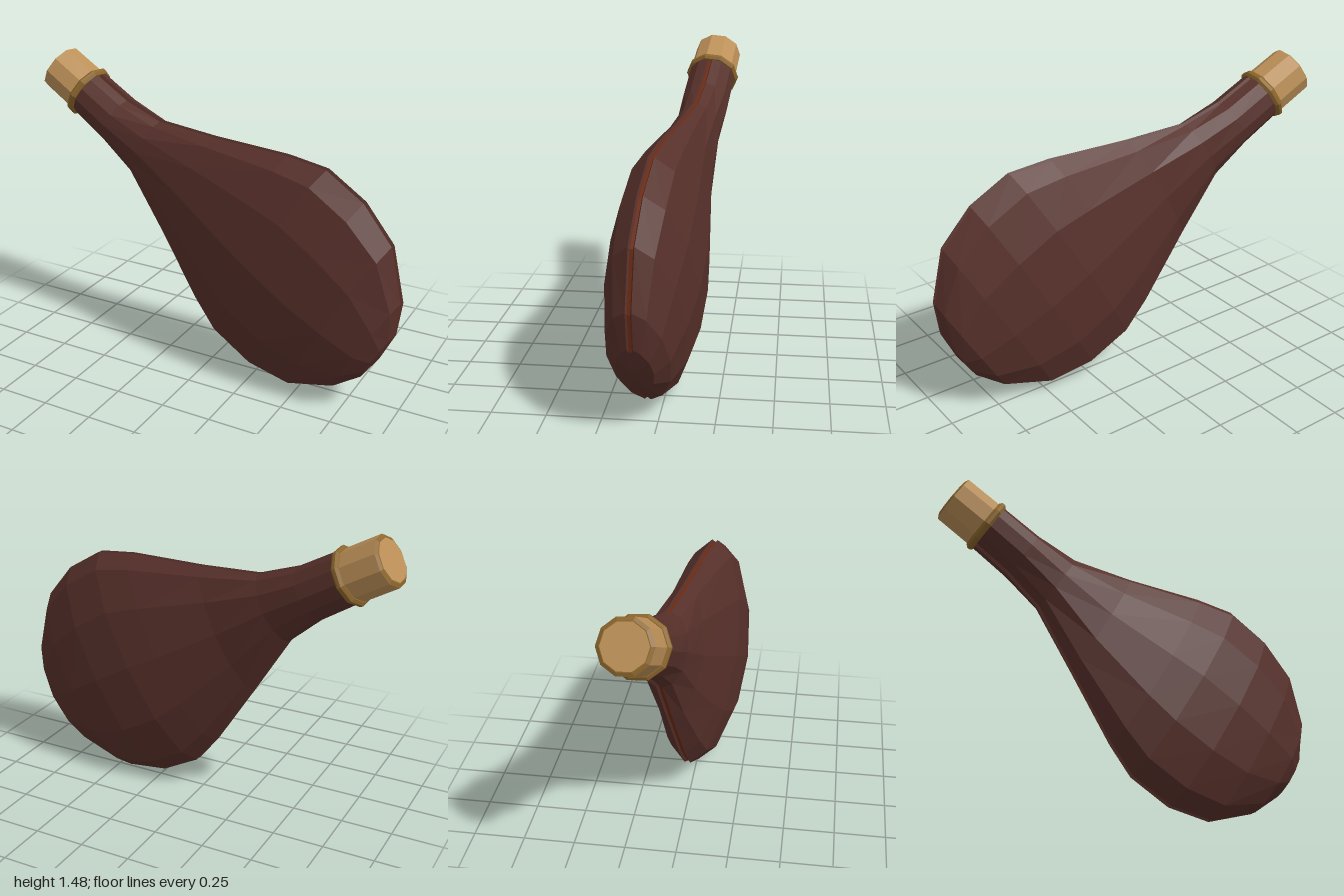
import * as THREE from 'three';

const mat = (name, color) => Object.assign(new THREE.MeshStandardMaterial({ color, flatShading: true }), { name });

// The whole flask lies in a vertical plane turned slightly about y
const seamZ = (x) => -0.02 + 0.106 * x;
const onPlane = (x, y) => new THREE.Vector3(x, y, seamZ(x));
const NORMAL = new THREE.Vector3(-0.105, 0, 0.994);

// Cross-sections from neck to base: upper x, y, lower x, y, half thickness
const SECTIONS = [
  [-0.69, 1.38, -0.81, 1.17, 0.122],
  [-0.51, 1.28, -0.64, 1.06, 0.122],
  [-0.31, 1.21, -0.48, 0.92, 0.11],
  [0.0, 1.19, -0.3, 0.63, 0.118],
  [0.4, 1.18, -0.09, 0.3, 0.168],
  [0.6, 1.155, 0.02, 0.16, 0.19],
  [0.79, 1.04, 0.22, 0.045, 0.196],
  [0.935, 0.87, 0.44, 0.005, 0.176],
  [0.995, 0.61, 0.69, 0.08, 0.14],
  [0.975, 0.44, 0.83, 0.18, 0.082],
];

// One ring: two bulging sides joined by a narrow groove at the top and bottom
function ring([ux, uy, lx, ly, depth]) {
  const up = onPlane(ux, uy), low = onPlane(lx, ly);
  const centre = up.clone().add(low).multiplyScalar(0.5);
  const across = up.clone().sub(centre);
  const half = across.length();
  across.normalize();
  const at = (h, n) => centre.clone().addScaledVector(across, h).addScaledVector(NORMAL, n);
  const points = [];
  for (const s of [1, -1]) {
    points.push(at(s * (half - 0.014), s * 0.007), at(s * half, s * 0.014));
    for (let k = 1; k <= 5; k++) {
      const t = (k * Math.PI) / 6;
      points.push(at(s * half * Math.cos(t), s * depth * Math.sin(t)));
    }
    points.push(at(-s * half, s * 0.014), at(-s * (half - 0.014), s * 0.007));
  }
  return points;
}

function bodyGeometry() {
  const rings = SECTIONS.map(ring);
  const n = rings[0].length;
  const leather = [], seam = [];
  for (let i = 0; i < rings.length - 1; i++) {
    for (let j = 0; j < n; j++) {
      const k = (j + 1) % n;
      const a = rings[i][j], b = rings[i][k], c = rings[i + 1][k], d = rings[i + 1][j];
      // the last column of each side is the groove floor
      const target = j % (n / 2) === n / 2 - 1 ? seam : leather;
      target.push(a, b, d, b, c, d);
    }
  }
  // Closed base
  const last = rings[rings.length - 1];
  const tip = onPlane(0.912, 0.302);
  for (let j = 0; j < n; j++) leather.push(tip, last[j], last[(j + 1) % n]);

  const geometry = new THREE.BufferGeometry().setFromPoints([...leather, ...seam]);
  geometry.addGroup(0, leather.length, 0);
  geometry.addGroup(leather.length, seam.length, 1);
  geometry.computeVertexNormals();
  return geometry;
}

export function createModel() {
  const group = new THREE.Group();
  const leather = mat('brown leather', 0x57302a);
  const seam = mat('red seam', 0x6e2a10);
  const wood = mat('cork', 0xbc9058);
  const trim = mat('dark gold trim', 0x8c662c);

  const body = new THREE.Mesh(bodyGeometry(), [leather, seam]);
  body.name = 'leatherBody';
  group.add(body);

  // Stopper group: local y points out of the neck
  const neck = onPlane(-0.755, 1.277);
  const end = onPlane(-0.941, 1.384);
  const length = end.distanceTo(neck);
  const stopper = new THREE.Group();
  stopper.name = 'stopper';
  stopper.position.copy(neck);
  stopper.quaternion.setFromUnitVectors(new THREE.Vector3(0, 1, 0), end.clone().sub(neck).normalize());
  group.add(stopper);

  const disc = (name, top, bottom, y0, y1, material) => {
    const mesh = new THREE.Mesh(new THREE.CylinderGeometry(top, bottom, y1 - y0, 10), material);
    mesh.name = name;
    mesh.position.y = (y0 + y1) / 2;
    stopper.add(mesh);
  };
  disc('cork', 0.12, 0.122, 0, length - 0.008, wood);
  disc('corkRim', 0.104, 0.12, length - 0.008, length, trim);
  disc('corkEnd', 0.1, 0.1, length - 0.004, length + 0.002, wood);
  // Collar with bevelled edges
  disc('collarLower', 0.138, 0.128, -0.008, 0.004, trim);
  disc('collarBand', 0.138, 0.138, 0.004, 0.018, trim);
  disc('collarUpper', 0.126, 0.138, 0.018, 0.03, trim);
  return group;
}
